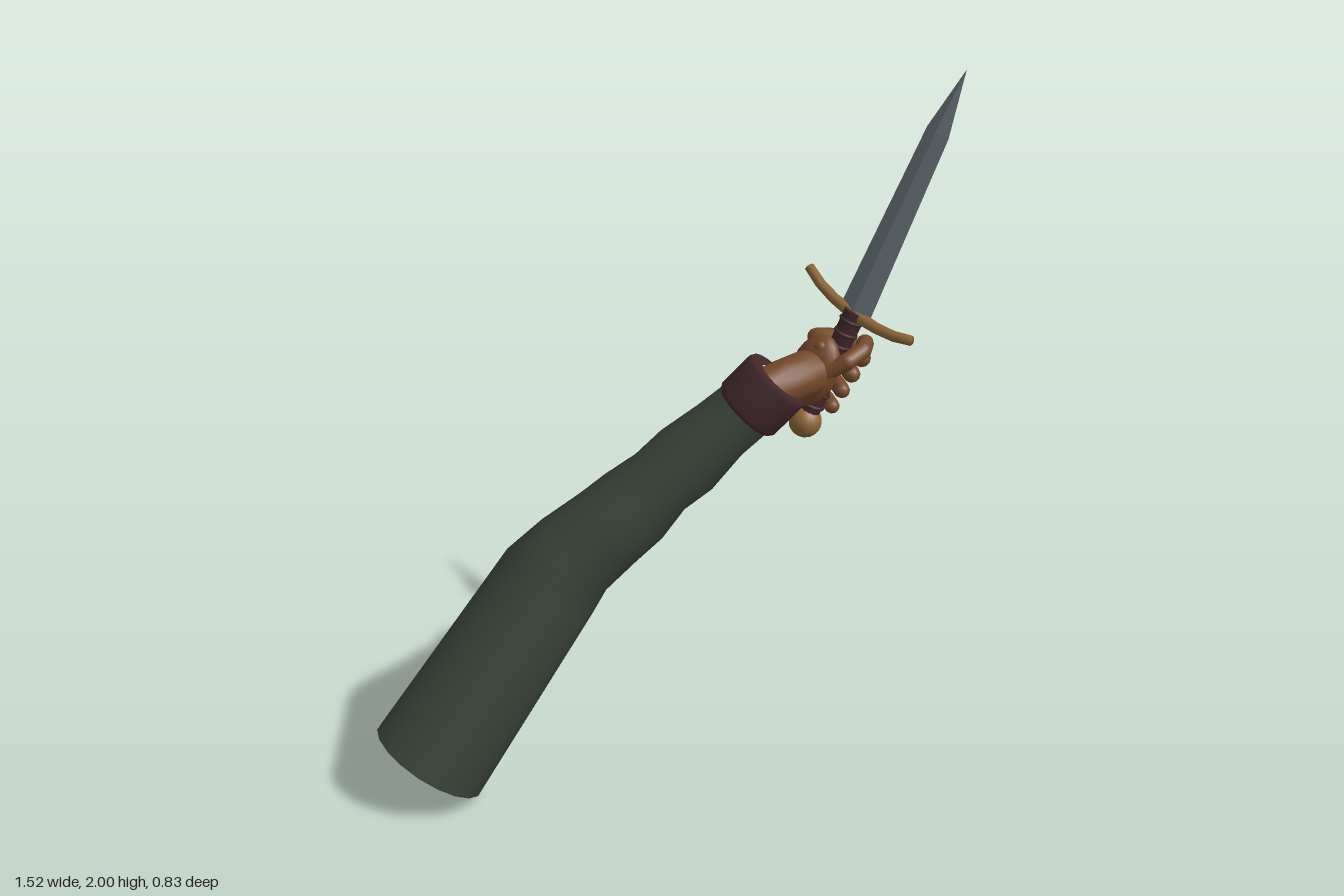
import * as THREE from 'three';

const V = (x, y, z) => new THREE.Vector3(x, y, z);
const UP = V(0, 1, 0);
const mat = (name, color, flatShading = false) => {
  const m = new THREE.MeshStandardMaterial({ color, flatShading });
  m.name = name;
  return m;
};

// Skin round cross-sections [x, y, z, radius] strung along a path
function loft(rings, sides) {
  const pts = rings.map(r => V(r[0], r[1], r[2]));
  const pos = [], idx = [];
  rings.forEach((ring, i) => {
    const t = pts[Math.min(i + 1, pts.length - 1)].clone().sub(pts[Math.max(i - 1, 0)]).normalize();
    const q = new THREE.Quaternion().setFromUnitVectors(UP, t);
    for (let j = 0; j < sides; j++) {
      const a = (j / sides) * Math.PI * 2;
      const p = V(Math.cos(a), 0, Math.sin(a)).multiplyScalar(ring[3]).applyQuaternion(q).add(pts[i]);
      pos.push(p.x, p.y, p.z);
      if (i < rings.length - 1) {
        const k = (j + 1) % sides, b = i * sides, c = b + sides;
        idx.push(b + j, c + j, b + k, b + k, c + j, c + k);
      }
    }
  });
  const g = new THREE.BufferGeometry();
  g.setAttribute('position', new THREE.Float32BufferAttribute(pos, 3));
  g.setIndex(idx);
  g.computeVertexNormals();
  return g;
}

function add(parent, name, geo, material, p) {
  const m = new THREE.Mesh(geo, material);
  m.name = name;
  if (p) m.position.copy(p);
  parent.add(m);
  return m;
}

// Stretch a mesh-centred shape between two points
function span(mesh, a, b) {
  mesh.position.copy(a).add(b).multiplyScalar(0.5);
  mesh.quaternion.setFromUnitVectors(UP, b.clone().sub(a).normalize());
  return mesh;
}

// Chain of rounded segments, for fingers and thumb
function digit(parent, name, pts, r, material) {
  const g = new THREE.Group();
  g.name = name;
  for (let i = 0; i < pts.length - 1; i++) {
    const len = pts[i].distanceTo(pts[i + 1]);
    const m = add(g, name + 'Segment', new THREE.CapsuleGeometry(r, len, 4, 10), material);
    span(m, pts[i], pts[i + 1]);
  }
  parent.add(g);
}

export function createModel() {
  const root = new THREE.Group();
  root.name = 'armWithDagger';
  const cloth = mat('sleeveGreen', 0x3a443a);
  const leather = mat('darkLeather', 0x42272a);
  const glove = mat('gloveBrown', 0x74492a);
  const brass = mat('brass', 0x8c6537);
  const steel = mat('steel', 0x68737a, true);

  // Sleeve: straight upper arm, then a rumpled forearm
  const arm = [
    [-0.62, 0.11, -0.24, 0.173], [-0.25, 0.61, -0.145, 0.15], [-0.19, 0.69, -0.11, 0.132],
    [-0.11, 0.77, -0.06, 0.122], [-0.05, 0.835, -0.02, 0.118], [0.015, 0.905, 0.015, 0.101],
    [0.075, 0.97, 0.055, 0.106], [0.155, 1.055, 0.1, 0.09], [0.23, 1.14, 0.155, 0.086],
  ];
  add(root, 'sleeve', loft(arm, 18), cloth);
  const end = add(root, 'sleeveEnd', new THREE.CircleGeometry(0.173, 18), cloth, V(-0.62, 0.11, -0.24));
  end.quaternion.setFromUnitVectors(V(0, 0, 1), V(-0.37, -0.5, -0.095).normalize());

  // Cuff: short band with softened rims
  const c0 = V(0.2, 1.11, 0.145), c1 = V(0.282, 1.212, 0.195);
  const profile = [[0.07, -0.058], [0.09, -0.065], [0.1, -0.05], [0.1, 0.05], [0.092, 0.065], [0.055, 0.06]];
  span(add(root, 'cuff', new THREE.LatheGeometry(profile.map(p => new THREE.Vector2(...p)), 18), leather), c0, c1);

  // Wrist
  add(root, 'wrist', loft([
    [0.24, 1.175, 0.18, 0.062], [0.3, 1.19, 0.193, 0.063],
    [0.37, 1.19, 0.195, 0.065], [0.43, 1.185, 0.192, 0.06],
  ], 14), glove);

  // Grip frame: y runs from pommel to tip, z runs along the guard
  const yAxis = V(0.345, 0.99, 0.185).normalize();
  const zAxis = V(0.015, -0.08, 0.38);
  const xAxis = yAxis.clone().cross(zAxis).normalize();
  zAxis.crossVectors(xAxis, yAxis);
  const grip = new THREE.Group();
  grip.name = 'daggerAndHand';
  grip.quaternion.setFromRotationMatrix(new THREE.Matrix4().makeBasis(xAxis, yAxis, zAxis));
  grip.position.set(0.415, 1.015, 0.16);
  root.add(grip);

  // Dagger
  add(grip, 'pommel', new THREE.SphereGeometry(0.046, 18, 12), brass);
  add(grip, 'handle', new THREE.CylinderGeometry(0.031, 0.028, 0.32, 12), leather, V(0, 0.19, 0));
  for (let i = 0; i < 8; i++) {
    const wrap = add(grip, 'handleWrap', new THREE.TorusGeometry(0.029, 0.006, 6, 14), leather, V(0, 0.055 + i * 0.038, 0));
    wrap.rotation.x = Math.PI / 2;
  }
  const guard = [
    [0, 0.378, -0.197, 0], [0, 0.377, -0.195, 0.014], [0, 0.356, -0.14, 0.015], [0, 0.344, -0.08, 0.016],
    [0, 0.34, 0, 0.019], [0, 0.344, 0.08, 0.016], [0, 0.354, 0.14, 0.015], [0, 0.373, 0.195, 0.014], [0, 0.374, 0.197, 0],
  ];
  add(grip, 'guard', loft(guard, 8), brass);
  const blade = new THREE.Group();
  blade.name = 'blade';
  blade.scale.x = 0.3;
  grip.add(blade);
  add(blade, 'bladeBody', new THREE.CylinderGeometry(0.038, 0.053, 0.54, 4, 1, true), steel, V(0, 0.615, 0));
  add(blade, 'bladeTip', new THREE.ConeGeometry(0.038, 0.18, 4, 1, true), steel, V(0, 0.975, 0));

  // Palm
  const palm = add(grip, 'palm', new THREE.SphereGeometry(1, 16, 12), glove, V(-0.058, 0.165, -0.005));
  palm.scale.set(0.045, 0.105, 0.072);

  // Four fingers curled round the back of the handle to the front
  for (let i = 0; i < 4; i++) {
    const R = 0.05 + i * 0.006, y = 0.072 + i * 0.054;
    const pts = [185, 245, 305, 360, 415].map(deg => {
      const a = THREE.MathUtils.degToRad(deg);
      return V(Math.cos(a) * R, y, Math.sin(a) * R);
    });
    digit(grip, 'finger', pts, 0.021 + i * 0.0015, glove);
  }

  // Thumb along the front side, closing over the top finger
  digit(grip, 'thumb', [V(-0.07, 0.18, 0.035), V(-0.045, 0.235, 0.07), V(0.005, 0.268, 0.07), V(0.04, 0.275, 0.045)], 0.024, glove);
  return root;
}
